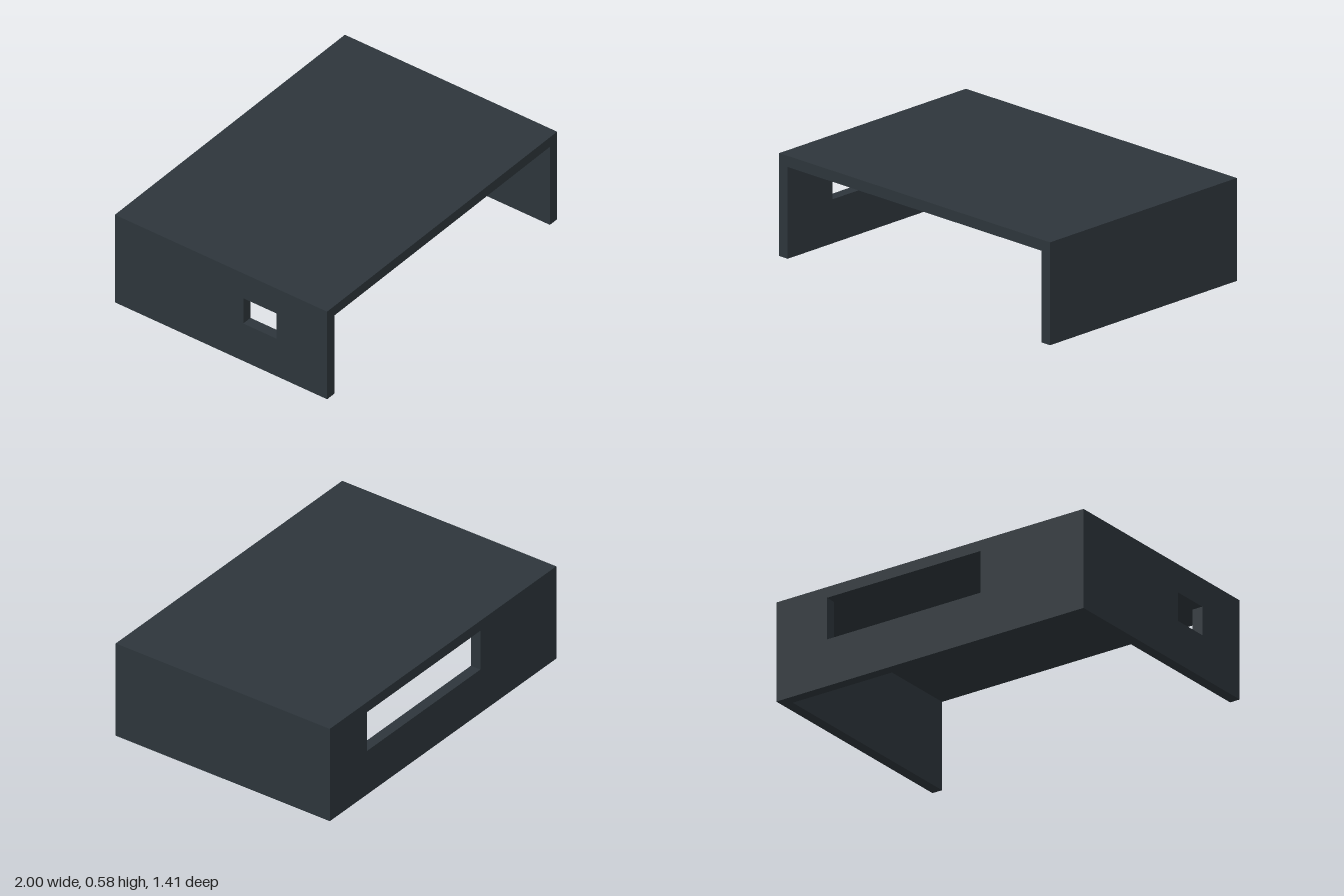
import * as THREE from 'three';

const H = 0.577, D = 1.41, T = 0.0625; // height, depth, wall thickness
const inner = H - T; // underside of the roof

// Closed outline from [x, y] pairs
const outline = (pts, Type = THREE.Shape) => new Type(pts.map(([x, y]) => new THREE.Vector2(x, y)));
const rect = (x0, y0, x1, y1) => [[x0, y0], [x1, y0], [x1, y1], [x0, y1]];

export function createModel() {
  const group = new THREE.Group();
  const slate = new THREE.MeshStandardMaterial({ color: 0x2d353b });
  slate.name = 'dark slate';

  const add = (name, geometry, x, y, z) => {
    const mesh = new THREE.Mesh(geometry, slate);
    mesh.name = name;
    mesh.position.set(x, y, z);
    group.add(mesh);
    return mesh;
  };
  const panel = (shape) => new THREE.ExtrudeGeometry(shape, { depth: T, bevelEnabled: false });

  // Flat roof over everything
  add('roof', new THREE.BoxGeometry(2, T, D), 0, H - T / 2, 0);

  // Solid wall on the left
  add('leftWall', new THREE.BoxGeometry(T, inner, D), 1 - T / 2, inner / 2, 0);

  // Wall on the right with a small square port; drawn in (-z, y), turned to face +x
  const side = outline(rect(-D / 2, 0, D / 2, inner));
  side.holes.push(outline(rect(-0.367, 0.247, -0.148, 0.413), THREE.Path));
  add('rightWall', panel(side), -1, 0, 0).rotation.y = Math.PI / 2;

  // Back wall, notched by a wide window that reaches the roof
  const e = 1 - T;
  const back = outline([
    [-e, 0], [e, 0], [e, inner], [0.67, inner], [0.67, 0.272],
    [-0.33, 0.272], [-0.33, inner], [-e, inner],
  ]);
  add('backWall', panel(back), 0, 0, -D / 2);

  return group;
}
